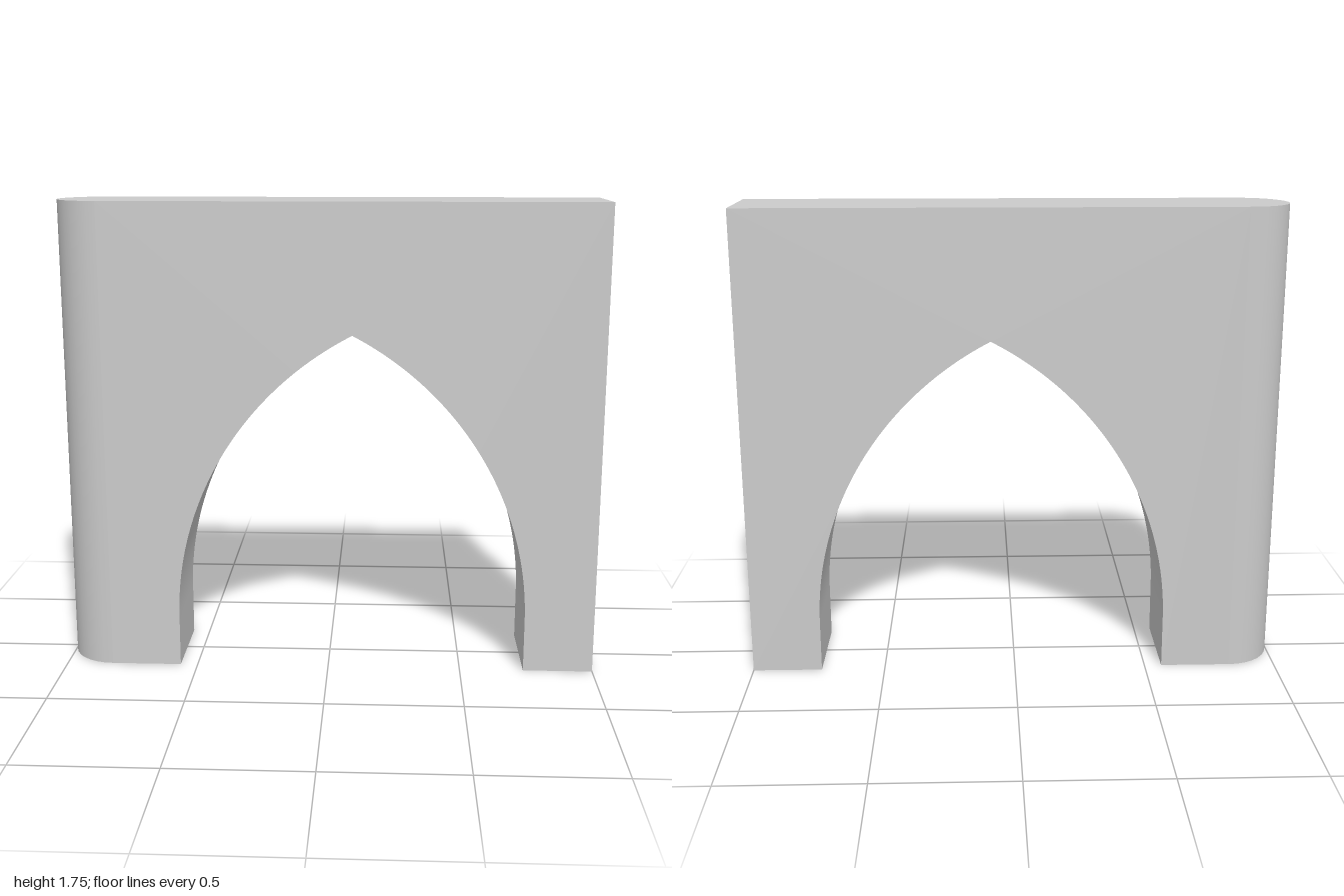
import * as THREE from 'three';
import { toCreasedNormals } from 'three/addons/utils/BufferGeometryUtils.js';

const HEIGHT = 1.75, RADIUS = 0.173; // wall height, half of the wall thickness
const END = -1 + RADIUS; // where the rounded end begins
const LEFT = -0.565, RIGHT = 0.74, SPRING = 0.2, APEX = 1.275; // arch opening

export function createModel() {
  const group = new THREE.Group();
  group.name = 'pointedArchWall';
  const material = new THREE.MeshStandardMaterial({ color: 0xcccccc });

  // Each side of the pointed arch is a circular arc centred on the springing line
  const half = (RIGHT - LEFT) / 2, rise = APEX - SPRING;
  const r = (half * half + rise * rise) / (2 * half);
  const angle = Math.asin(rise / r);

  // Wall outline with the arch cut up from the ground
  const outline = new THREE.Shape();
  outline.moveTo(END, 0);
  outline.lineTo(LEFT, 0);
  outline.lineTo(LEFT, SPRING);
  outline.absarc(LEFT + r, SPRING, r, Math.PI, Math.PI - angle, true);
  outline.absarc(RIGHT - r, SPRING, r, angle, 0, true);
  outline.lineTo(RIGHT, 0);
  outline.lineTo(1, 0);
  outline.lineTo(1, HEIGHT);
  outline.lineTo(END, HEIGHT);
  outline.closePath();
  const wallGeometry = new THREE.ExtrudeGeometry(outline, {
    depth: RADIUS * 2, bevelEnabled: false, curveSegments: 32,
  });
  wallGeometry.translate(0, 0, -RADIUS);
  const wall = new THREE.Mesh(toCreasedNormals(wallGeometry, 0.4), material);
  wall.name = 'archWall';
  group.add(wall);

  // Half-round end of the wall
  const endGeometry = new THREE.CylinderGeometry(RADIUS, RADIUS, HEIGHT, 16, 1, false, Math.PI, Math.PI);
  endGeometry.translate(END, HEIGHT / 2, 0);
  const roundedEnd = new THREE.Mesh(toCreasedNormals(endGeometry, 0.4), material);
  roundedEnd.name = 'roundedEnd';
  group.add(roundedEnd);

  return group;
}
